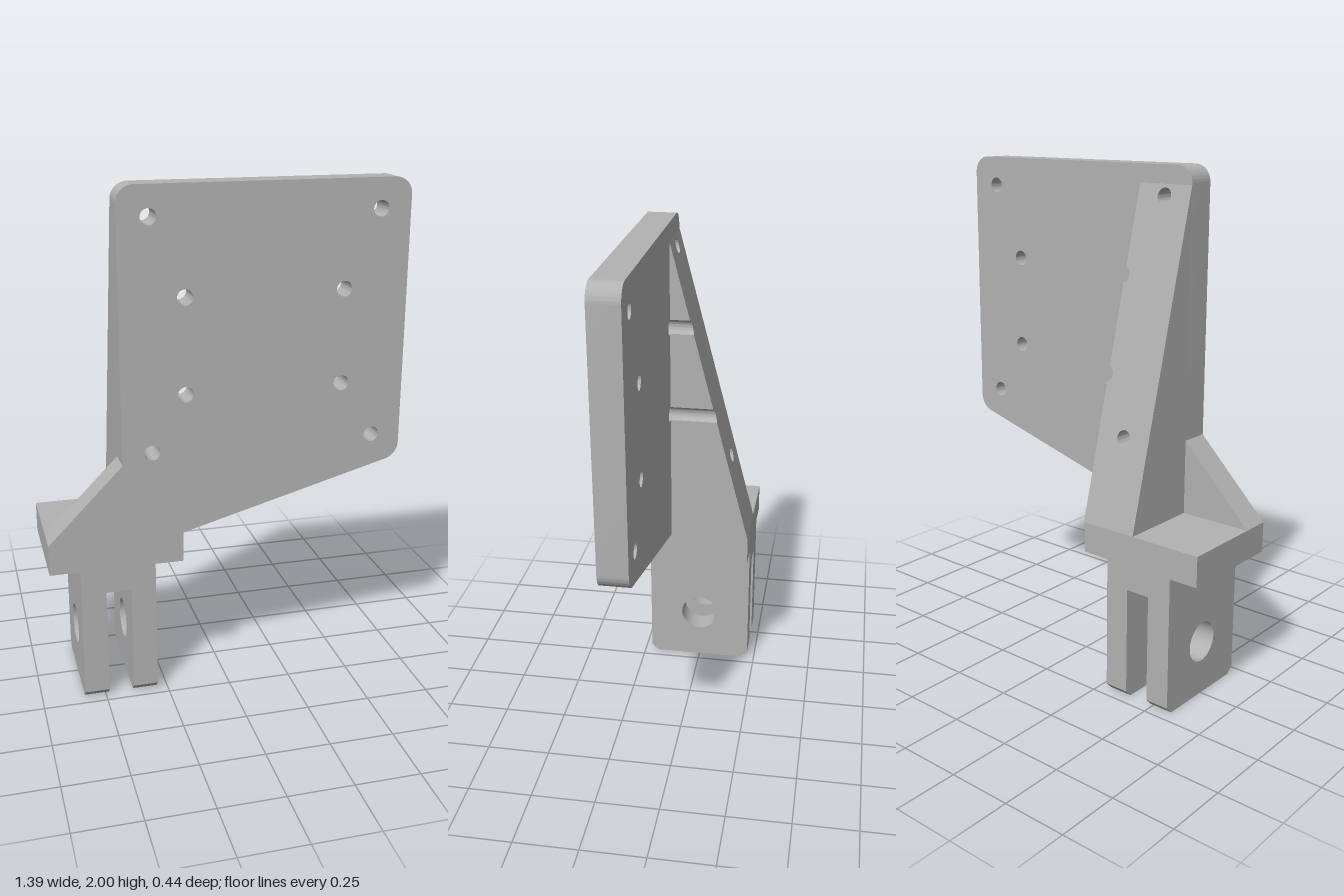
import * as THREE from 'three';
import { toCreasedNormals } from 'three/addons/utils/BufferGeometryUtils.js';

const FRONT = 0.22, BACK = -0.22, PLATE_BACK = 0.105;
const HOLE_R = 0.03;

function addHole(shape, x, y, r) {
  const hole = new THREE.Path();
  hole.absarc(x, y, r, 0, Math.PI * 2, true);
  shape.holes.push(hole);
}

function extrude(shape, depth) {
  return new THREE.ExtrudeGeometry(shape, { depth, bevelEnabled: false, curveSegments: 16 });
}

export function createModel() {
  const group = new THREE.Group();
  const grey = new THREE.MeshStandardMaterial({ color: 0xb2b2b2 });
  grey.name = 'grey';

  const add = (name, geometry) => {
    const mesh = new THREE.Mesh(toCreasedNormals(geometry, 0.5), grey);
    mesh.name = name;
    group.add(mesh);
    return mesh;
  };
  const box = (name, x0, x1, y0, y1, z0, z1) =>
    add(name, new THREE.BoxGeometry(x1 - x0, y1 - y0, z1 - z0))
      .position.set((x0 + x1) / 2, (y0 + y1) / 2, (z0 + z1) / 2);

  // Mounting plate with rounded corners, side gusset and eight screw holes
  const plate = new THREE.Shape();
  plate.moveTo(-0.7, 0.555);
  plate.lineTo(-0.18, 0.555);
  plate.lineTo(-0.18, 0.675);
  plate.absarc(0.625, 0.97, 0.07, -1.302, 0, false);
  plate.absarc(0.63, 1.935, 0.065, 0, Math.PI / 2, false);
  plate.absarc(-0.345, 1.935, 0.065, Math.PI / 2, Math.PI, false);
  plate.lineTo(-0.41, 0.97);
  plate.lineTo(-0.7, 0.675);
  plate.closePath();
  for (const y of [1.012, 1.887]) for (const x of [-0.295, 0.578]) addHole(plate, x, y, HOLE_R);
  for (const y of [1.23, 1.595]) for (const x of [-0.165, 0.445]) addHole(plate, x, y, HOLE_R);
  add('mountingPlate', extrude(plate, FRONT - PLATE_BACK).translate(0, 0, PLATE_BACK));

  // Tapered rib, notched where two of the screw holes graze its edge
  const ribLeft = -0.41, ribRight = -0.175, ribBottom = 0.675, ribTop = 1.93;
  const rib = new THREE.Shape();
  rib.moveTo(ribLeft, ribBottom);
  rib.lineTo(ribRight, ribBottom);
  const notch = Math.acos(0.01 / HOLE_R);
  for (const y of [1.23, 1.595]) {
    rib.absarc(-0.165, y, HOLE_R, Math.PI + notch, Math.PI - notch, true);
  }
  rib.lineTo(ribRight, ribTop);
  rib.lineTo(ribLeft, ribTop);
  rib.closePath();
  for (const y of [1.012, 1.887]) addHole(rib, -0.295, y, HOLE_R);
  const ribGeometry = extrude(rib, 1);
  const p = ribGeometry.attributes.position;
  for (let i = 0; i < p.count; i++) {
    const t = (p.getY(i) - ribBottom) / (ribTop - ribBottom);
    p.setZ(i, p.getZ(i) > 0.5 ? PLATE_BACK : THREE.MathUtils.lerp(BACK, PLATE_BACK, t));
  }
  add('taperedRib', ribGeometry);

  // Base shelf behind the plate
  box('baseShelf', -0.7, -0.18, 0.555, 0.675, BACK, PLATE_BACK);

  // Two clevis lugs with chamfered ends and a pin hole
  const lug = new THREE.Shape();
  const c = 0.028;
  lug.moveTo(BACK + c, 0);
  lug.lineTo(FRONT - c, 0);
  lug.lineTo(FRONT, c);
  lug.lineTo(FRONT, 0.555);
  lug.lineTo(BACK, 0.555);
  lug.lineTo(BACK, c);
  lug.closePath();
  addHole(lug, 0, 0.22, 0.08);
  for (const [name, x] of [['rightLug', -0.583], ['leftLug', -0.388]]) {
    add(name, extrude(lug, 0.097).rotateY(Math.PI / 2).translate(x, 0, 0));
  }

  // Bridge joining the lugs above the slot
  box('lugBridge', -0.486, -0.388, 0.455, 0.555, BACK, FRONT);

  return group;
}
